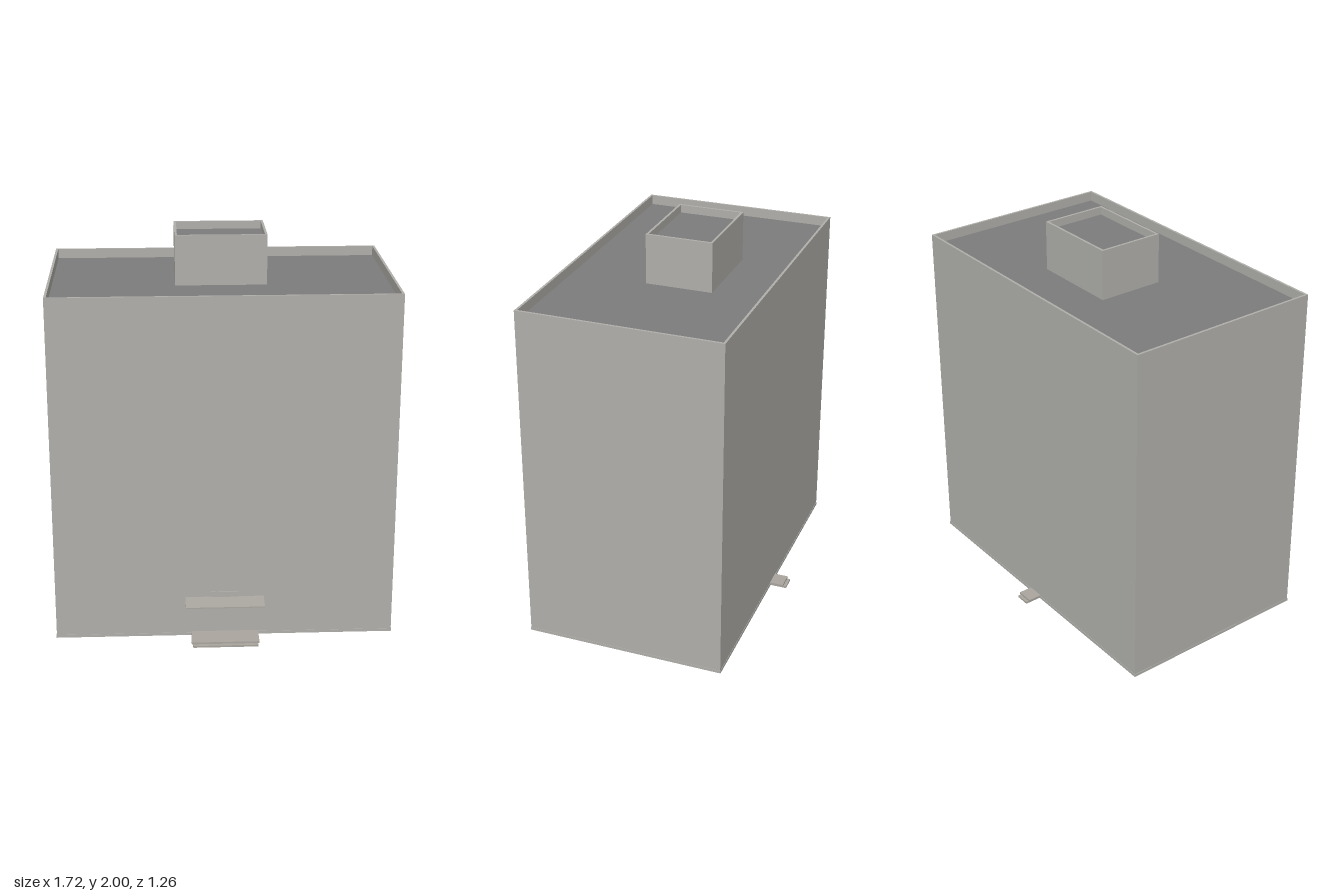
import * as THREE from 'three';

const mat = (name, color, side = THREE.FrontSide) => {
  const m = new THREE.MeshStandardMaterial({ color, side });
  m.name = name;
  return m;
};

export function createModel() {
  const group = new THREE.Group();
  const wall = mat('concrete grey', 0xb0afaa);
  const roofing = mat('roof grey', 0x7c7c7c, THREE.DoubleSide);
  const trim = mat('warm stone grey', 0xaaa69f);

  const add = (name, geometry, material) => {
    const mesh = new THREE.Mesh(geometry, material);
    mesh.name = name;
    group.add(mesh);
    return mesh;
  };

  // Solid block given by its limits
  const block = (name, x0, x1, y0, y1, z0, z1, material) => {
    const g = new THREE.BoxGeometry(x1 - x0, y1 - y0, z1 - z0);
    g.translate((x0 + x1) / 2, (y0 + y1) / 2, (z0 + z1) / 2);
    return add(name, g, material);
  };

  // Four thin walls around a rectangle, open above and below
  const ring = (name, x, z0, z1, y0, y1, t) => {
    const rect = (path, w, a, b) => {
      path.moveTo(-w, -b);
      path.lineTo(w, -b);
      path.lineTo(w, -a);
      path.lineTo(-w, -a);
      path.closePath();
      return path;
    };
    const shape = rect(new THREE.Shape(), x, z0, z1);
    shape.holes.push(rect(new THREE.Path(), x - t, z0 + t, z1 - t));
    const g = new THREE.ExtrudeGeometry(shape, { depth: y1 - y0, bevelEnabled: false });
    g.rotateX(-Math.PI / 2).translate(0, y0, 0);
    return add(name, g, wall);
  };

  // Flat roof sunk below the parapet
  const deck = (name, x, z0, z1, y) => {
    const g = new THREE.PlaneGeometry(2 * x, z1 - z0);
    g.rotateX(-Math.PI / 2).translate(0, y, (z0 + z1) / 2);
    return add(name, g, roofing);
  };

  // Main building: plinth, walls and roof
  ring('plinth', 0.862, -0.544, 0.492, 0, 0.015, 0.014);
  ring('outerWalls', 0.86, -0.542, 0.49, 0.015, 1.795, 0.012);
  deck('mainRoof', 0.85, -0.532, 0.48, 1.745);

  // Rooftop penthouse
  ring('penthouseWalls', 0.231, -0.257, 0.085, 1.745, 2, 0.012);
  deck('penthouseRoof', 0.222, -0.248, 0.076, 1.96);

  // Sloping entrance canopy
  const profile = new THREE.Shape([
    new THREE.Vector2(0.475, 0.2),
    new THREE.Vector2(0.593, 0.2),
    new THREE.Vector2(0.593, 0.206),
    new THREE.Vector2(0.475, 0.217),
  ]);
  const canopy = new THREE.ExtrudeGeometry(profile, { depth: 0.4, bevelEnabled: false });
  canopy.rotateY(-Math.PI / 2).translate(0.2, 0, 0);
  // the turn maps profile x to z and depth to -x
  add('entranceCanopy', canopy, trim);
  block('canopyPlate', -0.07, 0.07, 0.212, 0.245, 0.488, 0.495, wall);

  // Doorsteps, two treads each
  block('frontLowerStep', -0.165, 0.165, 0, 0.01, 0.48, 0.63, trim);
  block('frontUpperStep', -0.172, 0.172, 0.01, 0.02, 0.48, 0.612, trim);
  block('backLowerStep', -0.038, 0.038, 0, 0.01, -0.63, -0.535, trim);
  block('backUpperStep', -0.045, 0.045, 0.01, 0.02, -0.614, -0.535, trim);

  return group;
}
